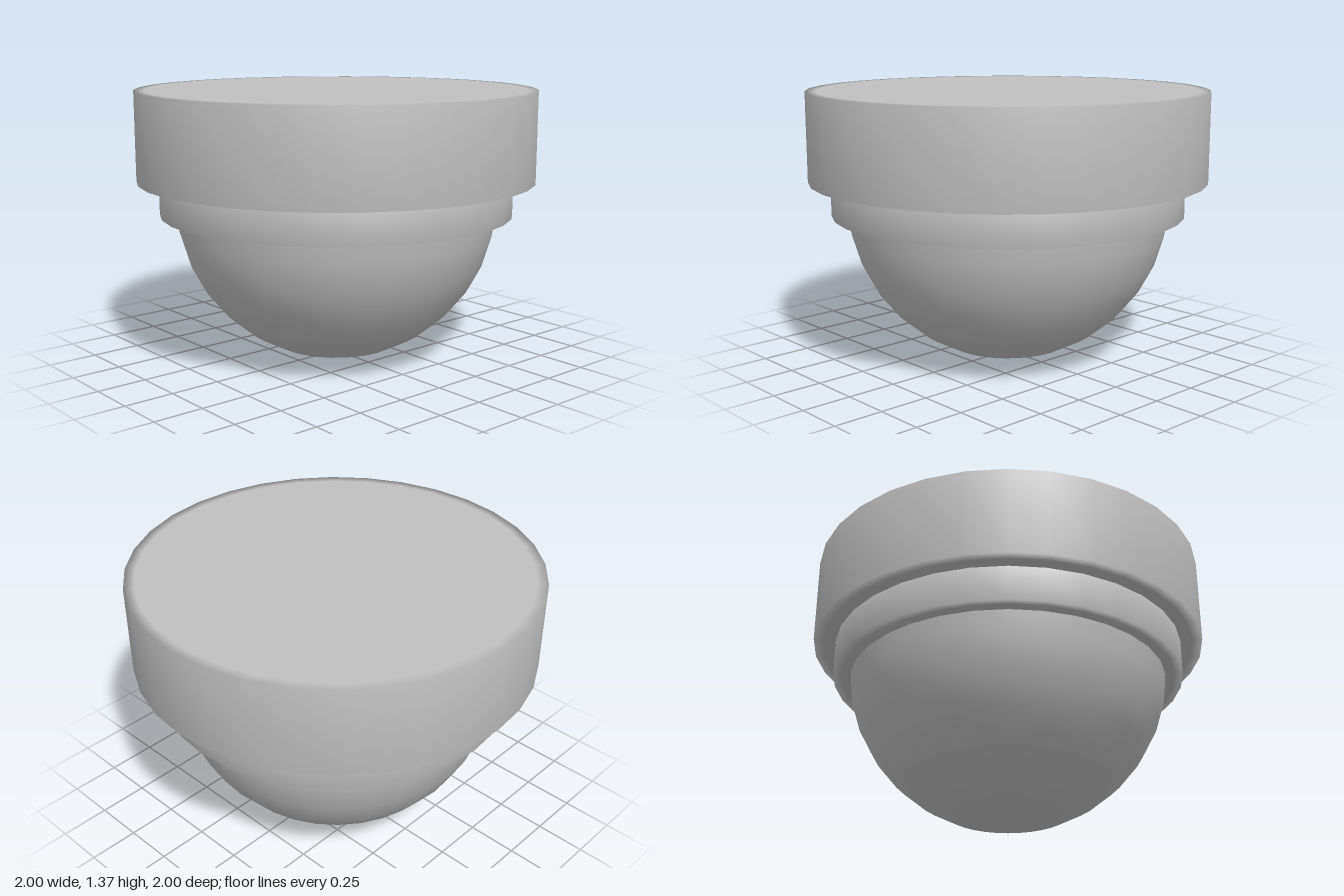
import * as THREE from 'three';

const SIDES = 32;

export function createModel() {
  const group = new THREE.Group();
  const grey = new THREE.MeshStandardMaterial({ color: 0xc0c0c0 });
  grey.name = 'grey';

  const lathe = (name, profile) => {
    const points = profile.map(([r, y]) => new THREE.Vector2(r, y));
    const mesh = new THREE.Mesh(new THREE.LatheGeometry(points, SIDES), grey);
    mesh.name = name;
    group.add(mesh);
  };

  // Capped drum whose smooth normals soften a narrow rim on each cap
  const drum = (name, radius, bottom, top, rim) => lathe(name, [
    [0, bottom], [radius - rim, bottom], [radius, bottom],
    [radius, top], [radius - rim, top], [0, top],
  ]);

  // Wide mounting base and the narrower collar under it
  drum('mountingBase', 1, 0.92, 1.367, 0.05);
  drum('collar', 0.89, 0.747, 0.93, 0.04);

  // Hemispherical dome, its equator hidden inside the collar
  const R = 0.81;
  const dome = [];
  for (let i = 0; i <= 8; i++) {
    const a = (i / 8) * Math.PI / 2;
    dome.push([R * Math.sin(a), R - R * Math.cos(a)]);
  }
  lathe('dome', dome);

  return group;
}
